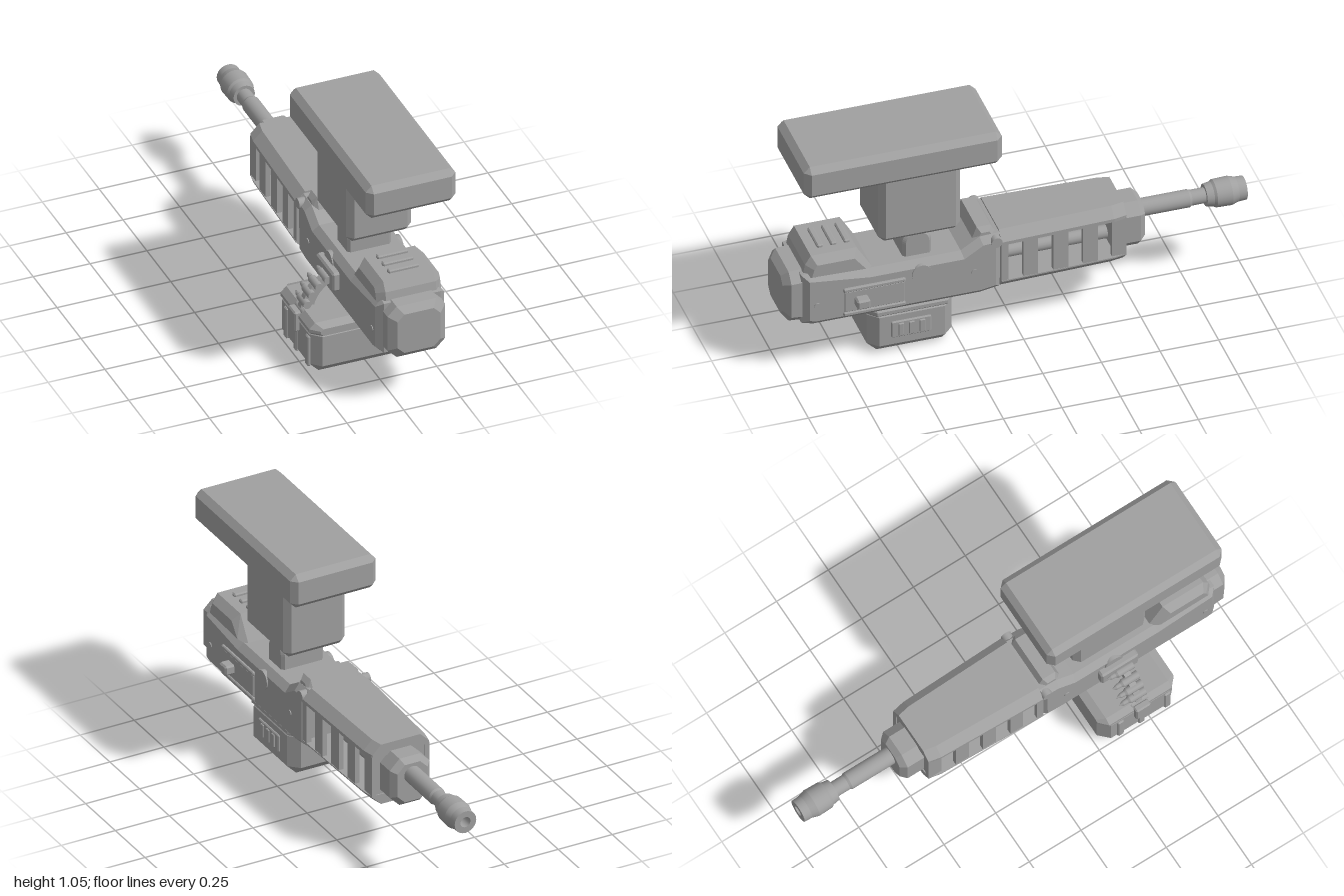
import * as THREE from 'three';

const CX = 0.067; // gun centre line
const grey = new THREE.MeshStandardMaterial({ color: 0xa0a0a0 });
grey.name = 'gunmetal grey';

// Octagonal section: x range, y range, top chamfer, bottom chamfer
function ring([z, x0, x1, y0, y1, t = 0, b = t]) {
  return [[x0 + b, y0], [x1 - b, y0], [x1, y0 + b], [x1, y1 - t],
    [x1 - t, y1], [x0 + t, y1], [x0, y1 - t], [x0, y0 + b]]
    .map(([x, y]) => new THREE.Vector3(x, y, z));
}

// Faceted skin over sections listed in rising z, with closed ends
function loft(sections) {
  const rings = sections.map(ring);
  const pos = [];
  const tri = (a, b, c) => {
    const n = b.clone().sub(a).cross(c.clone().sub(a));
    if (n.length() > 1e-9) for (const p of [a, b, c]) pos.push(p.x, p.y, p.z);
  };
  for (let s = 0; s < rings.length - 1; s++) {
    const a = rings[s], b = rings[s + 1];
    for (let i = 0; i < 8; i++) {
      const j = (i + 1) % 8;
      tri(a[i], a[j], b[j]);
      tri(a[i], b[j], b[i]);
    }
  }
  const first = rings[0], last = rings[rings.length - 1];
  for (let i = 1; i < 7; i++) {
    tri(first[0], first[i + 1], first[i]);
    tri(last[0], last[i], last[i + 1]);
  }
  const g = new THREE.BufferGeometry();
  g.setAttribute('position', new THREE.Float32BufferAttribute(pos, 3));
  g.computeVertexNormals();
  return g;
}

// Box with every edge chamfered by c
function block(x0, x1, y0, y1, z0, z1, c) {
  return loft([
    [z0, x0 + c, x1 - c, y0 + c, y1 - c], [z0 + c, x0, x1, y0, y1, c],
    [z1 - c, x0, x1, y0, y1, c], [z1, x0 + c, x1 - c, y0 + c, y1 - c],
  ]);
}

// Side profile of (z, y) points carried across x, with chamfered rims
function sideExtrude(shape, x0, x1, bevel) {
  const g = new THREE.ExtrudeGeometry(shape, {
    depth: x1 - x0 - 2 * bevel, bevelEnabled: bevel > 0, bevelThickness: bevel,
    bevelSize: bevel, bevelOffset: -bevel, bevelSegments: 1, curveSegments: 10,
  });
  return g.rotateY(-Math.PI / 2).translate(x1 - bevel, 0, 0);
}
const outline = pts => new THREE.Shape(pts.map(([z, y]) => new THREE.Vector2(z, y)));

// Cylinder across x
const pin = (x0, x1, y, z, r, sides = 20) =>
  new THREE.CylinderGeometry(r, r, x1 - x0, sides).rotateZ(Math.PI / 2).translate((x0 + x1) / 2, y, z);

// Turned part along z from (radius, distance toward -z) points
function turned(pts, x, y, z, sides = 24) {
  const out = [];
  // doubled points keep the turned edges crisp
  pts.forEach(([r, d], i) => {
    out.push(new THREE.Vector2(r, d));
    if (i > 0 && i < pts.length - 1) out.push(new THREE.Vector2(r, d + 1e-5));
  });
  return new THREE.LatheGeometry(out, sides).rotateX(-Math.PI / 2).translate(x, y, z);
}

export function createModel() {
  const group = new THREE.Group();
  const add = (name, geometry) => {
    const mesh = new THREE.Mesh(geometry, grey);
    mesh.name = name;
    group.add(mesh);
    return mesh;
  };

  // Ceiling mount
  add('mountPlate', block(-0.13, 0.265, 0.9, 1.055, 0.09, 0.935, 0.026));
  add('mountColumn', block(-0.075, 0.21, 0.575, 0.91, 0.25, 0.6, 0.026));
  const lug = new THREE.Shape();
  lug.moveTo(0.363, 0.42);
  lug.lineTo(0.487, 0.42);
  lug.lineTo(0.487, 0.52);
  lug.absarc(0.425, 0.52, 0.062, 0, Math.PI, false);
  lug.closePath();
  add('pivotLug', sideExtrude(lug, -0.03, 0.165, 0.012));
  add('pivotPin', pin(-0.09, 0.225, 0.403, 0.425, 0.042));

  // Receiver
  add('receiver', sideExtrude(outline([
    [0.93, 0.25], [0.93, 0.485], [0.9, 0.49], [0.64, 0.46], [0.25, 0.46],
    [0.17, 0.51], [0.08, 0.515], [0.08, 0.25], [0.17, 0.235], [0.88, 0.235],
  ].reverse()), -0.085, 0.219, 0.028));
  add('rearHump', sideExtrude(outline([
    [0.62, 0.45], [0.925, 0.45], [0.91, 0.525], [0.885, 0.565], [0.69, 0.565],
  ]), -0.075, 0.21, 0.032));
  for (const z of [0.715, 0.772, 0.83])
    add('humpRib', block(0.0, 0.135, 0.555, 0.578, z - 0.013, z + 0.013, 0.005));
  add('frontCollar', sideExtrude(outline([
    [0.08, 0.48], [0.2, 0.48], [0.175, 0.545], [0.115, 0.545],
  ]), -0.055, 0.19, 0.02));
  add('collarPin', pin(-0.092, 0.226, 0.487, 0.105, 0.023));
  add('rearCap', loft([
    [0.9, -0.062, 0.196, 0.24, 0.492, 0.04], [0.972, -0.06, 0.194, 0.245, 0.488, 0.04],
    [1.0, -0.027, 0.162, 0.275, 0.46, 0.03],
  ]));
  for (const [z, y] of [[0.87, 0.34], [0.2, 0.36]])
    add('screw', pin(-0.089, 0.223, y, z, 0.013, 12));

  // Cocking slide on the left side
  for (const y of [0.275, 0.392])
    add('slideRail', block(0.21, 0.23, y - 0.009, y + 0.009, 0.495, 0.76, 0.004));
  add('slidePlate', block(0.21, 0.225, 0.284, 0.383, 0.5, 0.755, 0.003));
  add('cockingHandle', block(0.215, 0.266, 0.311, 0.354, 0.657, 0.713, 0.007));

  // Slotted handguard, tapering toward the muzzle
  const guard = (name, y0, y1, top, bottom) => add(name, loft([
    [-0.455, CX - 0.131, CX + 0.131, y0, y1, top, bottom],
    [-0.4, CX - 0.142, CX + 0.142, y0, y1, top, bottom],
    [0.085, CX - 0.157, CX + 0.157, y0, y1, top, bottom],
  ]));
  guard('handguardTop', 0.468, 0.523, 0.04, 0);
  guard('handguardBottom', 0.246, 0.292, 0, 0.04);
  for (const [z0, z1] of [[-0.455, -0.393], [-0.33, -0.267], [-0.202, -0.138], [-0.072, -0.01], [0.055, 0.085]]) {
    for (const side of [-1, 1]) {
      const w = 0.147 + (z0 + 0.2) * 0.032 - (z0 < -0.4 ? 0.006 : 0);
      add('handguardRib', new THREE.BoxGeometry(0.022, 0.19, z1 - z0)
        .translate(CX + side * (w - 0.011), 0.38, (z0 + z1) / 2));
    }
  }
  add('handguardEnd', new THREE.BoxGeometry(0.23, 0.19, 0.04).translate(CX, 0.38, -0.43));
  add('gasTube', new THREE.CylinderGeometry(0.029, 0.029, 0.56, 16).rotateX(Math.PI / 2).translate(CX, 0.324, -0.18));
  add('muzzleBlock', loft([
    [-0.555, CX - 0.07, CX + 0.07, 0.288, 0.462, 0.035],
    [-0.53, CX - 0.092, CX + 0.092, 0.267, 0.483, 0.045],
    [-0.45, CX - 0.092, CX + 0.092, 0.267, 0.483, 0.045],
  ]));

  // Barrel and muzzle brake
  add('barrel', turned([[0, -0.1], [0.038, -0.1], [0.038, 0.76], [0.033, 0.77], [0.033, 0.86], [0, 0.86]], CX, 0.41, 0));
  add('muzzleBrake', turned([
    [0, 0.83], [0.047, 0.83], [0.052, 0.86], [0.059, 0.87], [0.061, 0.935],
    [0.052, 0.965], [0.05, 1.0], [0.023, 1.0], [0.023, 0.94], [0, 0.94],
  ], CX, 0.41, 0));

  // Ammunition box
  add('ammoBox', block(-0.245, 0.172, 0, 0.225, 0.268, 0.632, 0.042));
  add('ammoLid', loft([
    [0.265, -0.21, 0.14, 0.19, 0.222, 0.01], [0.3, -0.248, 0.178, 0.19, 0.238, 0.025, 0.008],
    [0.6, -0.248, 0.178, 0.19, 0.238, 0.025, 0.008], [0.635, -0.21, 0.14, 0.19, 0.222, 0.01],
  ]));
  add('boxNeck', new THREE.BoxGeometry(0.2, 0.04, 0.3).translate(CX, 0.235, 0.45));
  add('boxLatch', block(-0.267, -0.235, 0.137, 0.23, 0.42, 0.49, 0.006));
  for (const z of [0.355, 0.455, 0.58])
    add('boxRib', block(-0.253, -0.235, 0.03, 0.175, z - 0.015, z + 0.015, 0.005));
  add('boxWindow', block(0.165, 0.18, 0.077, 0.155, 0.37, 0.54, 0.004));
  for (const z of [0.41, 0.455, 0.5])
    add('windowBar', block(0.175, 0.186, 0.086, 0.146, z - 0.012, z + 0.012, 0.003));

  // Feed tray and cartridge belt on the right side
  add('feedTray', block(-0.115, -0.07, 0.315, 0.403, 0.35, 0.53, 0.008));
  const band = new THREE.Shape();
  band.moveTo(-0.235, 0.22);
  band.quadraticCurveTo(-0.21, 0.33, -0.11, 0.365);
  band.lineTo(-0.11, 0.32);
  band.quadraticCurveTo(-0.165, 0.285, -0.175, 0.22);
  add('beltLink', new THREE.ExtrudeGeometry(band, { depth: 0.03, bevelEnabled: false }).translate(0, 0, 0.44));
  for (const [x, y] of [[-0.12, 0.355], [-0.16, 0.33], [-0.19, 0.296], [-0.211, 0.257], [-0.22, 0.22]])
    add('cartridge', turned([[0, 0], [0.018, 0], [0.018, 0.075], [0.012, 0.085], [0.01, 0.105], [0, 0.125]], x, y, 0.495, 10));

  return group;
}
